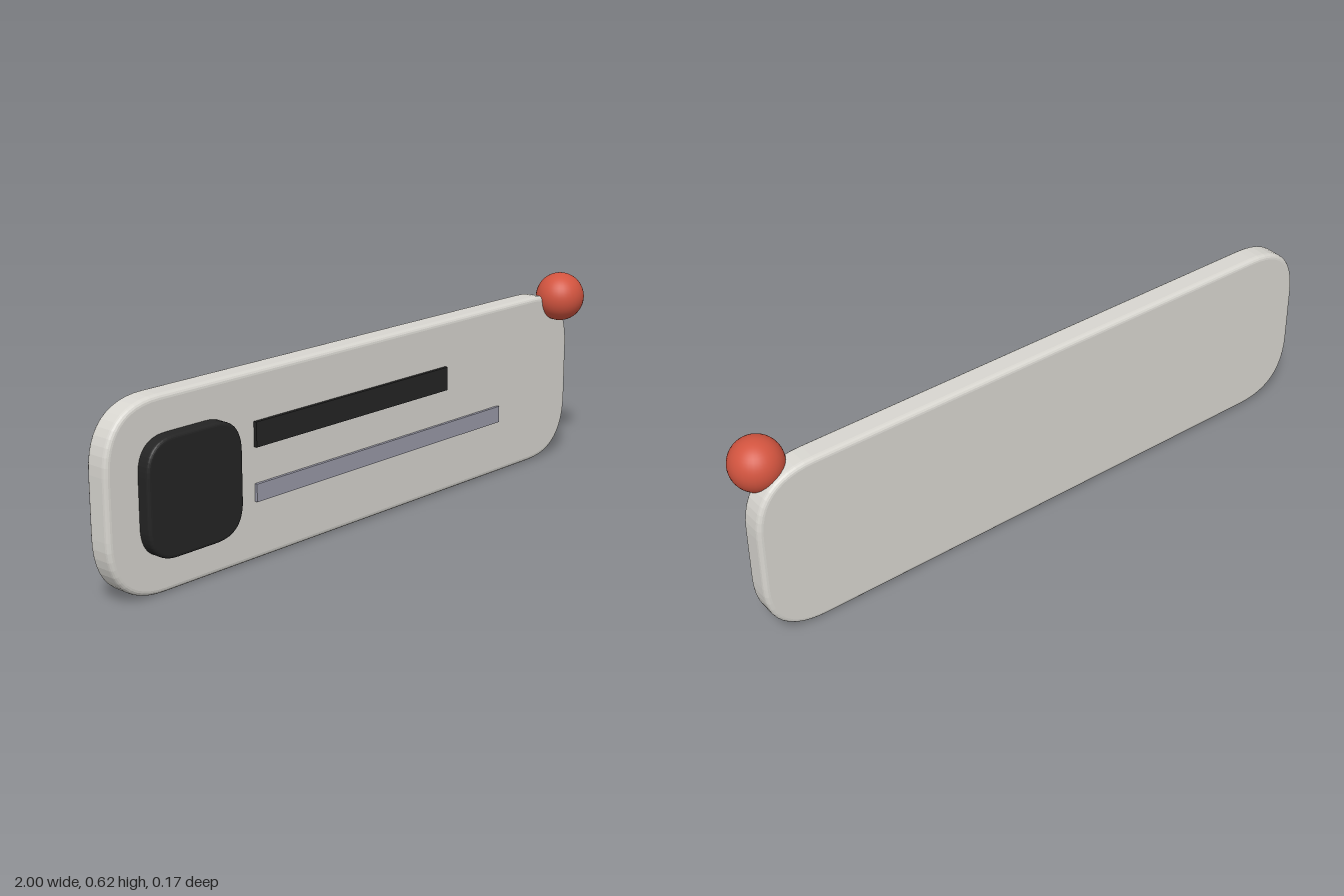
import * as THREE from 'three';

// Softly rounded rectangle outline
function roundedRect(x0, y0, x1, y1, r) {
  const s = new THREE.Shape();
  s.moveTo(x0 + r, y0);
  s.lineTo(x1 - r, y0);
  s.quadraticCurveTo(x1, y0, x1, y0 + r);
  s.lineTo(x1, y1 - r);
  s.quadraticCurveTo(x1, y1, x1 - r, y1);
  s.lineTo(x0 + r, y1);
  s.quadraticCurveTo(x0, y1, x0, y1 - r);
  s.lineTo(x0, y0 + r);
  s.quadraticCurveTo(x0, y0, x0 + r, y0);
  return s;
}

// Bevelled slab filling the given bounds exactly
function slab(x0, x1, y0, y1, z0, z1, r, b) {
  const shape = roundedRect(x0 + b, y0 + b, x1 - b, y1 - b, r - b);
  const geo = new THREE.ExtrudeGeometry(shape, {
    depth: z1 - z0 - 2 * b, bevelEnabled: true, bevelSize: b,
    bevelThickness: b, bevelSegments: 4, curveSegments: 12,
  });
  return geo.translate(0, 0, z0 + b);
}

// Plain box filling the given bounds
function bar(x0, x1, y0, y1, z0, z1) {
  return new THREE.BoxGeometry(x1 - x0, y1 - y0, z1 - z0)
    .translate((x0 + x1) / 2, (y0 + y1) / 2, (z0 + z1) / 2);
}

export function createModel() {
  const group = new THREE.Group();
  const material = (name, color) => {
    const m = new THREE.MeshStandardMaterial({ color });
    m.name = name;
    return m;
  };
  const cream = material('warm white', 0xd8d6d0);
  const black = material('charcoal', 0x242424);
  const slate = material('slate grey', 0x9a9aa8);
  const red = material('badge red', 0xd2543f);

  const add = (name, geometry, mat) => {
    const mesh = new THREE.Mesh(geometry, mat);
    mesh.name = name;
    group.add(mesh);
    return mesh;
  };

  // Card body
  add('card', slab(-1, 0.985, 0, 0.556, -0.086, -0.007, 0.19, 0.015), cream);
  // Raised icon tile
  add('iconTile', slab(-0.892, -0.552, 0.108, 0.451, -0.02, 0.034, 0.1, 0.01), black);
  // Title and subtitle strips
  add('titleBar', bar(-0.472, 0.35, 0.336, 0.41, -0.015, 0.004), black);
  add('subtitleBar', bar(-0.472, 0.614, 0.175, 0.228, -0.015, 0.002), slate);
  // Corner badge
  add('badge', new THREE.SphereGeometry(0.079, 32, 24), red).position.set(0.919, 0.544, 0.007);

  return group;
}
